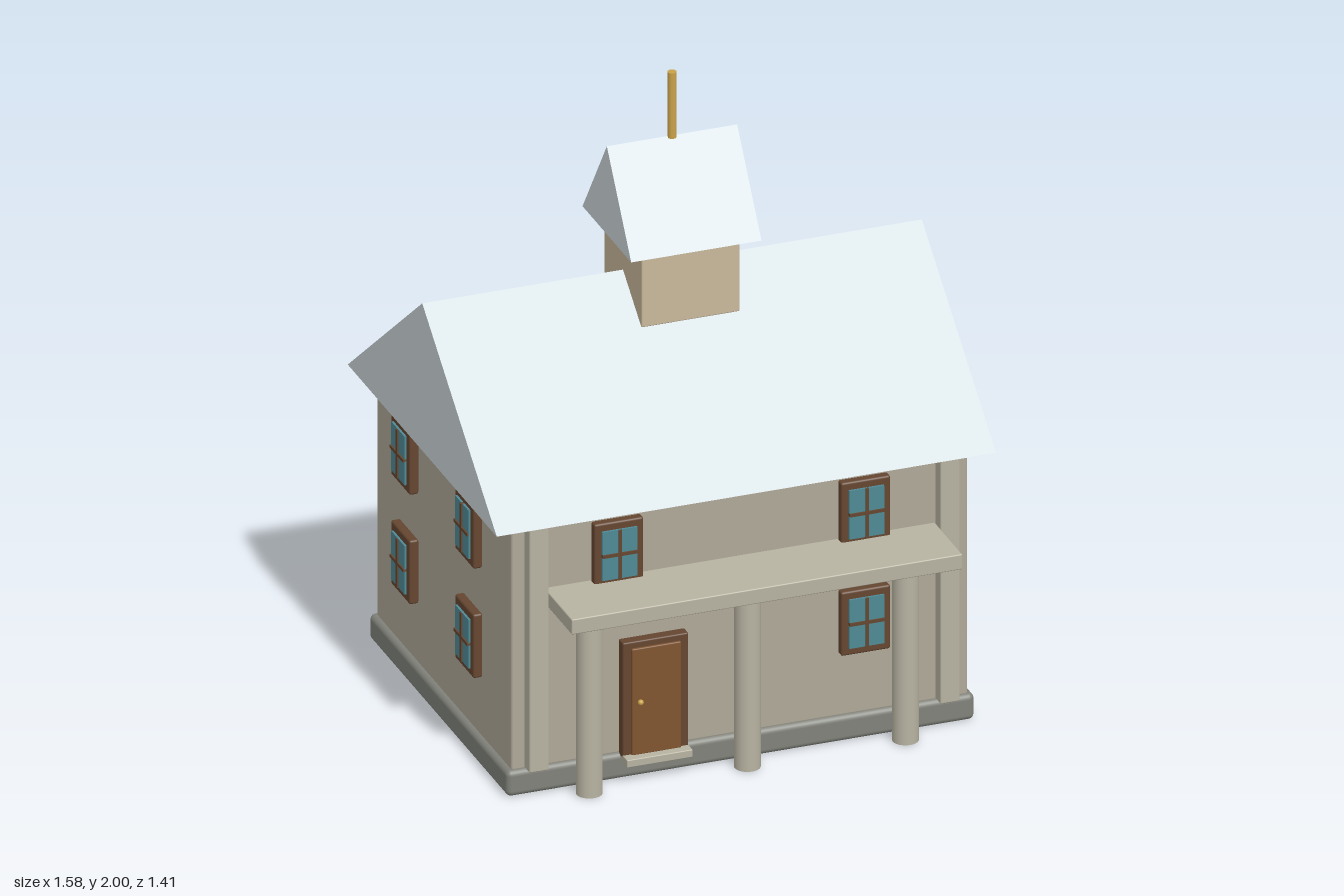
import * as THREE from 'three';
import { RoundedBoxGeometry } from 'three/addons/geometries/RoundedBoxGeometry.js';

const mat = (color) => new THREE.MeshStandardMaterial({ color });
const stone = mat(0xb0a999), trim = mat(0xb8b3a2), base = mat(0x80827a), tower = mat(0xc9b99b);
const roofing = mat(0xcfd8dc), frameWood = mat(0x654630), doorWood = mat(0x7f5430);
const glass = mat(0x4f8a96), brass = mat(0xc9a24a);
const CZ = -0.085; // depth of the ridge line

function add(parent, name, geometry, material, x = 0, y = 0, z = 0) {
  const mesh = new THREE.Mesh(geometry, material);
  mesh.name = name;
  mesh.position.set(x, y, z);
  parent.add(mesh);
  return mesh;
}

// Box given by its extents, with an optional rounded edge
function block(parent, name, material, [x0, x1], [y0, y1], [z0, z1], radius = 0) {
  const size = [x1 - x0, y1 - y0, z1 - z0];
  const geometry = radius ? new RoundedBoxGeometry(...size, 3, radius) : new THREE.BoxGeometry(...size);
  return add(parent, name, geometry, material, (x0 + x1) / 2, (y0 + y1) / 2, (z0 + z1) / 2);
}

// Solid gable roof with its ridge along x
function gable(parent, name, halfLength, halfDepth, y0, y1) {
  const shape = new THREE.Shape();
  shape.moveTo(-halfDepth, 0);
  shape.lineTo(halfDepth, 0);
  shape.lineTo(0, y1 - y0);
  shape.closePath();
  const geometry = new THREE.ExtrudeGeometry(shape, { depth: 2 * halfLength, bevelEnabled: false });
  geometry.translate(0, 0, -halfLength).rotateY(Math.PI / 2);
  return add(parent, name, geometry, roofing, 0, y0, CZ);
}

// Framed window facing +z, back at z = 0
function makeWindow() {
  const group = new THREE.Group();
  group.name = 'window';
  block(group, 'windowFrame', frameWood, [-0.078, 0.078], [-0.105, 0.105], [0, 0.03], 0.007);
  block(group, 'windowGlass', glass, [-0.055, 0.055], [-0.08, 0.08], [0.02, 0.037]);
  block(group, 'mullion', frameWood, [-0.005, 0.005], [-0.08, 0.08], [0.025, 0.042]);
  block(group, 'glazingBar', frameWood, [-0.055, 0.055], [-0.005, 0.005], [0.025, 0.042]);
  return group;
}

export function createModel() {
  const house = new THREE.Group();
  house.name = 'house';

  // Body
  block(house, 'plinth', base, [-0.74, 0.74], [0, 0.085], [-0.66, 0.49], 0.018);
  block(house, 'walls', stone, [-0.722, 0.722], [0.08, 0.89], [-0.64, 0.477], 0.008);
  for (const s of [-1, 1]) {
    block(house, 'pilaster', trim, [s * 0.65 - 0.031, s * 0.65 + 0.031], [0.085, 0.89], [0.46, 0.52], 0.005);
  }

  // Roof, tower and finial
  gable(house, 'mainRoof', 0.79, 0.618, 0.89, 1.375);
  block(house, 'tower', tower, [-0.155, 0.155], [1.255, 1.5], [CZ - 0.156, CZ + 0.156], 0.004);
  gable(house, 'towerRoof', 0.206, 0.202, 1.5, 1.79);
  add(house, 'finial', new THREE.CylinderGeometry(0.014, 0.014, 0.215, 16), brass, 0, 1.8925, CZ);

  // Porch
  block(house, 'porchSlab', trim, [-0.618, 0.618], [0.615, 0.665], [0.47, 0.705], 0.004);
  for (const x of [-0.5, 0, 0.5]) {
    add(house, 'column', new THREE.CylinderGeometry(0.04, 0.04, 0.615, 24), trim, x, 0.3075, 0.54);
  }

  // Door
  const door = new THREE.Group();
  door.name = 'door';
  house.add(door);
  block(door, 'doorFrame', frameWood, [-0.382, -0.174], [0.075, 0.456], [0.47, 0.51], 0.005);
  block(door, 'doorLeaf', doorWood, [-0.356, -0.2], [0.085, 0.435], [0.49, 0.518], 0.004);
  block(door, 'doorStep', trim, [-0.382, -0.174], [0.062, 0.087], [0.47, 0.545], 0.003);
  add(door, 'doorKnob', new THREE.SphereGeometry(0.009, 16, 12), brass, -0.331, 0.26, 0.524);

  // Windows on the front and on the right-hand wall
  for (const [x, y] of [[-0.393, 0.755], [0.388, 0.755], [0.388, 0.395]]) {
    const w = makeWindow();
    w.position.set(x, y, 0.477);
    house.add(w);
  }
  for (const z of [CZ - 0.265, CZ + 0.265]) {
    for (const y of [0.395, 0.755]) {
      const w = makeWindow();
      w.position.set(-0.729, y, z);
      w.rotation.y = -Math.PI / 2;
      house.add(w);
    }
  }
  return house;
}
